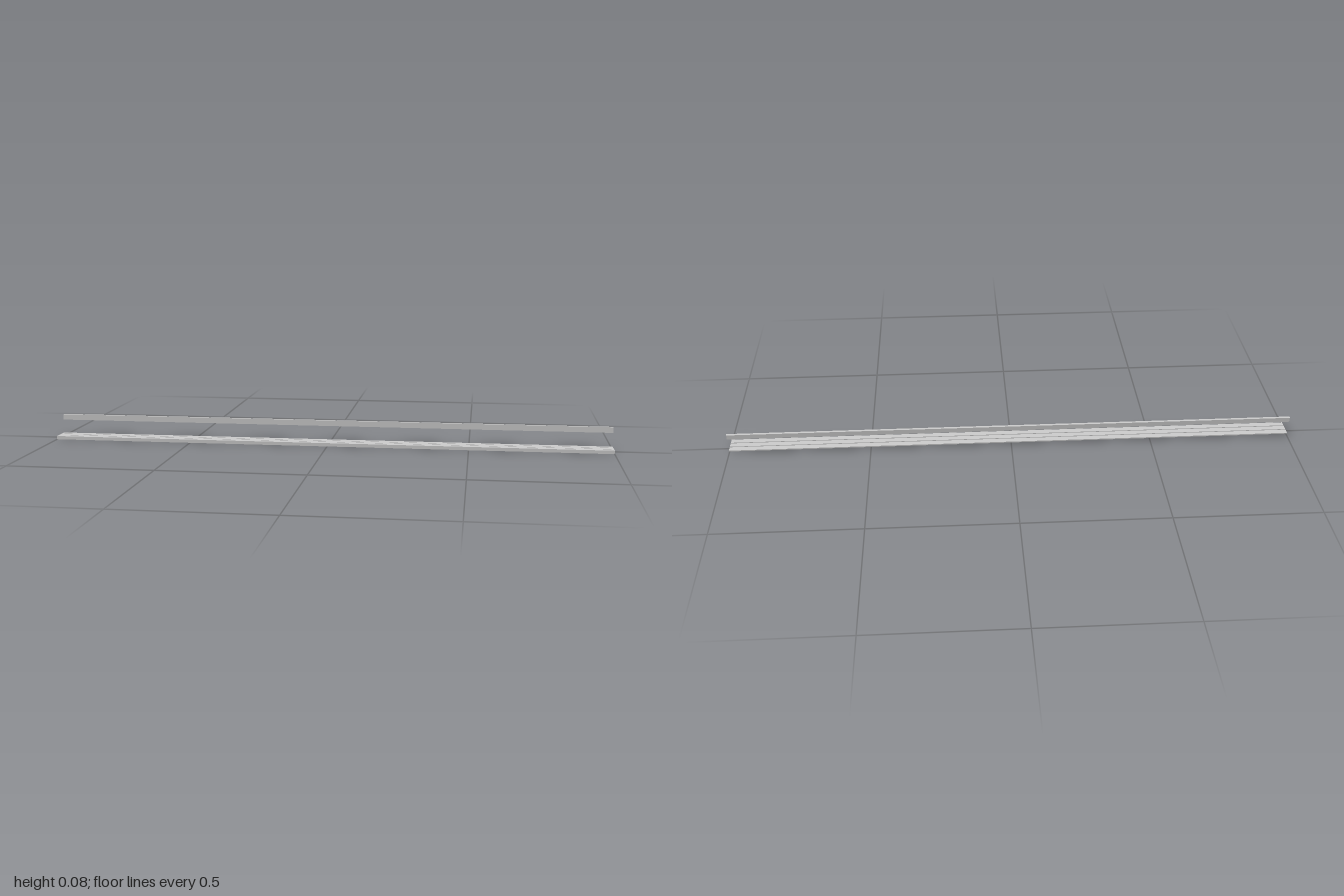
import * as THREE from 'three';

const LENGTH = 2;
const T = 0.004; // board thickness

// Extrudes a (z, y) cross-section along the whole length in x
function plank(name, section, material) {
  const shape = new THREE.Shape(section.map(([z, y]) => new THREE.Vector2(z, y)));
  const geometry = new THREE.ExtrudeGeometry(shape, { depth: LENGTH, bevelEnabled: false });
  geometry.rotateY(-Math.PI / 2);
  geometry.translate(LENGTH / 2, 0, 0);
  const mesh = new THREE.Mesh(geometry, material);
  mesh.name = name;
  return mesh;
}

export function createModel() {
  const group = new THREE.Group();
  group.name = 'bench';
  const material = new THREE.MeshStandardMaterial({ color: 0xcccccc, flatShading: true });

  const seatTop = 0.012;
  const seatUnder = seatTop - T;
  const front = 0.0403;
  const slatWidth = 0.0213;
  const pitch = 0.0253;

  // Front seat slat with a lip turned down to the ground
  group.add(plank('frontSeatSlat', [
    [front, 0], [front, seatTop], [front - slatWidth, seatTop],
    [front - slatWidth, seatUnder], [front - T, seatUnder], [front - T, 0],
  ], material));

  // Flat middle and rear seat slats
  ['middleSeatSlat', 'rearSeatSlat'].forEach((name, i) => {
    const z = front - pitch * (i + 1);
    group.add(plank(name, [
      [z, seatUnder], [z, seatTop], [z - slatWidth, seatTop], [z - slatWidth, seatUnder],
    ], material));
  });

  // Backrest: upright board with a top edge turned backwards
  const backFront = -0.031;
  const backRear = -0.0403;
  const backTop = 0.081;
  const backBottom = 0.061;
  group.add(plank('backrest', [
    [backFront, backBottom], [backFront, backTop], [backRear, backTop],
    [backRear, backTop - T], [backFront - T, backTop - T], [backFront - T, backBottom],
  ], material));

  return group;
}
